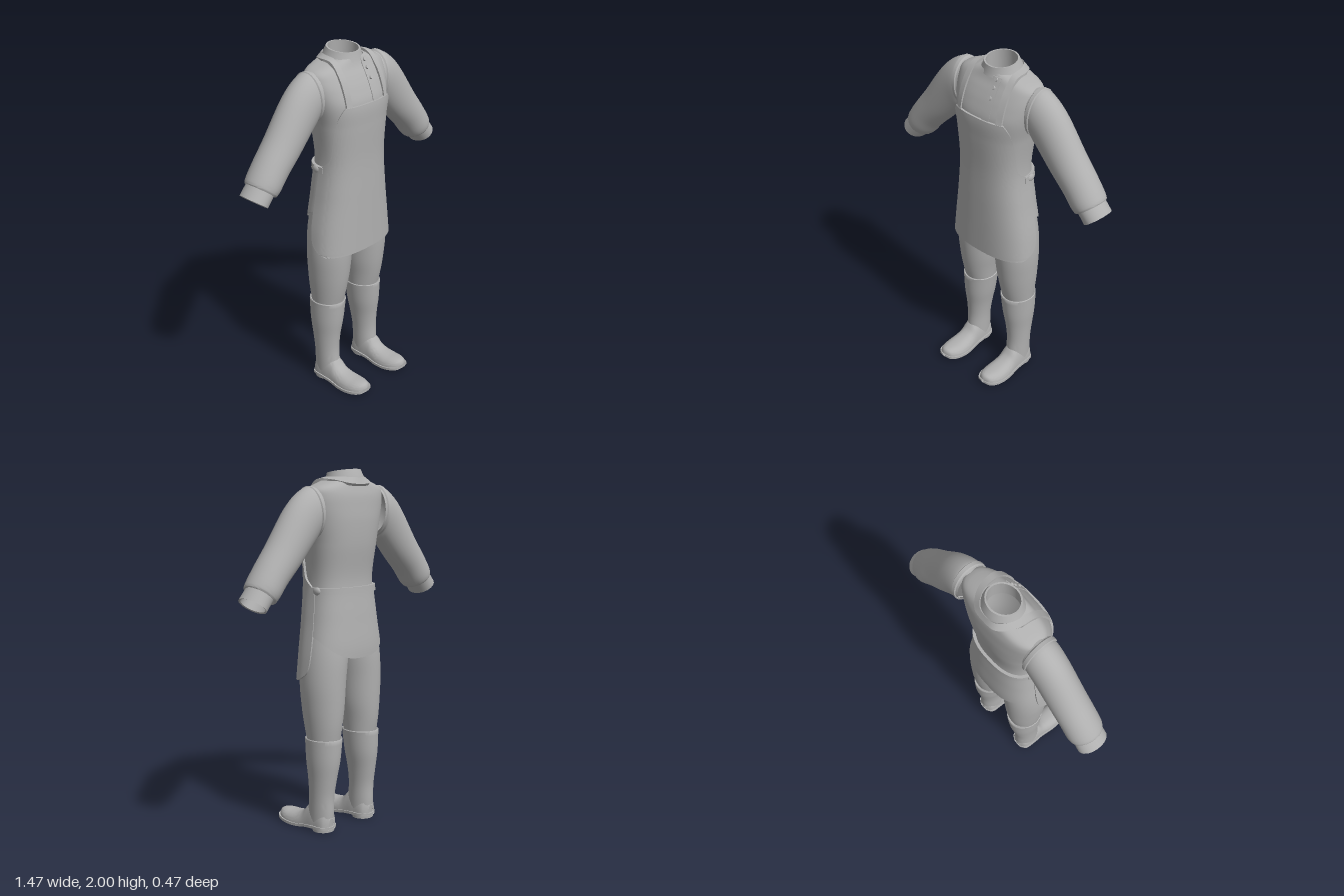
import * as THREE from 'three';
import { toCreasedNormals } from 'three/addons/utils/BufferGeometryUtils.js';

const cloth = new THREE.MeshStandardMaterial({ color: 0xb0b0b0, side: THREE.DoubleSide });
cloth.name = 'plain grey';
const DEG = Math.PI / 180;

// Smooth lookup through rows of [key, ...values]
function table(rows) {
  const slope = (i, c) => {
    const a = rows[Math.max(i - 1, 0)], b = rows[Math.min(i + 1, rows.length - 1)];
    return (b[c] - a[c]) / (b[0] - a[0]);
  };
  return (k) => {
    let i = 0;
    while (i < rows.length - 2 && k > rows[i + 1][0]) i++;
    const a = rows[i], b = rows[i + 1], h = b[0] - a[0];
    const t = Math.min(1, Math.max(0, (k - a[0]) / h)), t2 = t * t, t3 = t2 * t;
    return a.slice(1).map((v, j) => (2 * t3 - 3 * t2 + 1) * v + (t3 - 2 * t2 + t) * h * slope(i, j + 1)
      + (3 * t2 - 2 * t3) * b[j + 1] + (t3 - t2) * h * slope(i + 1, j + 1));
  };
}

function add(parent, name, geo) {
  const mesh = new THREE.Mesh(geo, cloth);
  mesh.name = name;
  parent.add(mesh);
  return mesh;
}

// Surface from a grid of points fn(i, j)
function grid(nu, nv, fn) {
  const pos = [], idx = [];
  for (let j = 0; j <= nv; j++) for (let i = 0; i <= nu; i++) pos.push(...fn(i, j));
  for (let j = 0; j < nv; j++) for (let i = 0; i < nu; i++) {
    const a = j * (nu + 1) + i, b = a + nu + 1;
    idx.push(a, b, a + 1, a + 1, b, b + 1);
  }
  const geo = new THREE.BufferGeometry();
  geo.setAttribute('position', new THREE.Float32BufferAttribute(pos, 3));
  geo.setIndex(idx);
  return toCreasedNormals(geo, 0.75);
}

// Torso outline by height: half width, front z, back z
const body = table([
  [0.86, 0.268, 0.09, -0.2], [1, 0.254, 0.09, -0.22], [1.2, 0.223, 0.09, -0.207], [1.4, 0.203, 0.09, -0.193],
  [1.6, 0.22, 0.098, -0.215], [1.72, 0.245, 0.098, -0.22], [1.8, 0.26, 0.072, -0.216], [1.86, 0.262, 0.043, -0.21],
  [1.9, 0.245, 0.02, -0.2], [1.93, 0.165, 0.008, -0.192], [1.945, 0.11, 0.003, -0.186],
]);
const spow = (v) => Math.sign(v) * Math.abs(v) ** 0.8;
function bodyPoint(y, phi, off = 0) {
  const [w, f, b] = body(y);
  return [(w + off) * spow(Math.sin(phi)), y, (f + b) / 2 + ((f - b) / 2 + off) * spow(Math.cos(phi))];
}
const phiAt = (x, y) => Math.sign(x) * Math.asin(Math.min(1, (Math.abs(x) / body(y)[0]) ** 1.25));
const frontZ = (x, y) => bodyPoint(y, phiAt(x, y))[2];

// Raised cloth panel lying on the torso, with a rim on every edge
function panel(parent, name, nu, nv, off, at) {
  const mid = (i, n) => (Math.min(Math.max(i, 1), n - 1) - 1) / (n - 2);
  add(parent, name, grid(nu, nv, (i, j) => {
    const [y, phi] = at(mid(i, nu), mid(j, nv));
    return bodyPoint(y, phi, i % nu === 0 || j % nv === 0 ? 0 : off);
  }));
}

// Horizontal rings: rows of [y, centre x, half width, front z, back z]
const ringGeo = (rows, s) => grid(32, rows.length - 1, (i, j) => {
  const [y, cx, rx, f, b] = rows[j], a = i / 32 * 2 * Math.PI;
  return [s * (cx + rx * Math.cos(a)), y, (f + b) / 2 + (f - b) / 2 * Math.sin(a)];
});

// Tilted arm rings: rows of [x, y, radius, z radius, downward angle]
const armGeo = (rows, s) => grid(32, rows.length - 1, (i, j) => {
  const [x, y, r, rz, a] = rows[j], t = i / 32 * 2 * Math.PI;
  return [s * (x + r * Math.cos(t) * Math.sin(a)), y + r * Math.cos(t) * Math.cos(a), -0.09 + rz * Math.sin(t)];
});

const sample = (rows, n) => {
  const f = table(rows), k0 = rows[0][0], k1 = rows[rows.length - 1][0];
  return Array.from({ length: n + 1 }, (_, i) => { const k = k0 + (k1 - k0) * i / n; return [k, ...f(k)]; });
};

function addArm(g, s) {
  add(g, 'sleeve', armGeo(sample([
    [0, 0.24, 1.775, 0.128, 0.093, 0], [1, 0.278, 1.765, 0.138, 0.1, 0.15], [2, 0.35, 1.7, 0.126, 0.1, 0.6],
    [3, 0.465, 1.56, 0.108, 0.1, 0.82], [4, 0.55, 1.465, 0.098, 0.1, 0.86], [5, 0.605, 1.395, 0.094, 0.1, 0.89],
    [6, 0.63, 1.365, 0.086, 0.092, 0.9], [7, 0.626, 1.37, 0.068, 0.08, 0.9]], 35).map((r) => r.slice(1)), s));
  add(g, 'cuff', armGeo([[0.6, 1.405, 0.07, 0.085, 0.9], [0.678, 1.315, 0.071, 0.087, 0.9],
    [0.676, 1.318, 0.062, 0.078, 0.9], [0.6, 1.405, 0.062, 0.078, 0.9]], s));
  add(g, 'armholeSeam', armGeo([[0.247, 1.772, 0.132, 0.1, 0.04], [0.252, 1.772, 0.139, 0.106, 0.05],
    [0.268, 1.77, 0.142, 0.106, 0.08], [0.274, 1.768, 0.133, 0.096, 0.1]], s));
}

function addLeg(g, s) {
  add(g, 'trouserLeg', ringGeo(sample([
    [0.5, 0.15, 0.088, 0.012, -0.172], [0.6, 0.15, 0.1, 0.035, -0.187], [0.7, 0.147, 0.113, 0.052, -0.195],
    [0.85, 0.144, 0.124, 0.066, -0.2], [1, 0.13, 0.127, 0.066, -0.2], [1.2, 0.11, 0.11, 0.05, -0.18]], 24), s));
  add(g, 'bootShaft', ringGeo([[0.525, 0.15, 0.085, 0.01, -0.17], [0.532, 0.151, 0.095, 0.027, -0.187],
    ...sample([[-0.528, 0.151, 0.099, 0.03, -0.19], [-0.4, 0.157, 0.088, 0.02, -0.183], [-0.3, 0.162, 0.074, 0.006, -0.168],
      [-0.2, 0.165, 0.065, 0, -0.154], [-0.1, 0.165, 0.062, 0.008, -0.153], [-0.03, 0.165, 0.06, 0.01, -0.15]], 20)
      .map(([y, ...r]) => [-y, ...r])], s));
  // Foot sections along z: half width, top, bottom
  const footRows = sample([[-0.153, 0.02, 0.08, 0.03], [-0.13, 0.053, 0.13, 0.03], [-0.06, 0.062, 0.17, 0.03],
    [0, 0.062, 0.14, 0.025], [0.03, 0.064, 0.105, 0.02], [0.07, 0.069, 0.083, 0.016], [0.13, 0.071, 0.073, 0.018],
    [0.18, 0.063, 0.072, 0.024], [0.215, 0.044, 0.068, 0.03], [0.228, 0.026, 0.06, 0.034], [0.234, 0.002, 0.045, 0.038]], 40);
  add(g, 'bootFoot', grid(24, 40, (i, j) => {
    const [z, w, top, bot] = footRows[j], a = i / 24 * Math.PI;
    return [s * (0.165 + w * spow(Math.cos(a))), bot + (top - bot) * Math.sin(a), z];
  }));
  // Thin welted sole that follows the foot
  add(g, 'sole', grid(4, 40, (i, j) => {
    const [z, w, , bot] = footRows[j], e = w + 0.007;
    return [s * (0.165 + (i % 4 < 2 && i !== 4 ? (i ? 1 : -1) : (i === 2 ? 1 : -1)) * e),
      bot + (i === 2 || i === 3 ? -0.013 : 0.002), z + Math.max(0, z) * 0.025];
  }));
  const heel = add(g, 'heel', new THREE.CylinderGeometry(0.064, 0.062, 0.028, 28));
  heel.scale.z = 0.97;
  heel.position.set(s * 0.165, 0.014, -0.09);
}

export function createModel() {
  const model = new THREE.Group();
  model.name = 'workOutfit';

  // Shirt body
  add(model, 'shirt', grid(64, 60, (i, j) => bodyPoint(1.2 + 0.745 * (j / 60) ** 0.8, i / 64 * 2 * Math.PI)));

  // Standing collar, higher at the back, open inside
  const collarRows = [[1.935, 0.116, 0.016, -0.198], [1.952, 0.108, 0.01, -0.193], [1.987, 0.095, 0.002, -0.176],
    [1.987, 0.086, -0.007, -0.167], [1.93, 0.088, -0.005, -0.172], [1.87, 0.09, -0.005, -0.175]];
  add(model, 'collar', grid(40, 5, (i, j) => {
    const [y, w, f, b] = collarRows[j], a = i / 40 * 2 * Math.PI;
    return [w * Math.cos(a), y - 0.013 * Math.sin(a), (f + b) / 2 + (f - b) / 2 * Math.sin(a)];
  }));

  // Button placket and buttons
  panel(model, 'placket', 6, 16, 0.004, (u, v) => {
    const y = 1.7 + 0.235 * v;
    return [y, phiAt(0.03 + 0.05 * u, y)];
  });
  for (const y of [1.835, 1.885, 1.925]) {
    const button = add(model, 'button', new THREE.CylinderGeometry(0.009, 0.011, 0.01, 14));
    button.position.set(0.055, y, frontZ(0.055, y) + 0.007);
    button.rotation.x = 60 * DEG;
  }

  // Apron: half angle of wrap by height
  const wrap = table([[0.86, 70], [0.875, 83], [0.91, 92], [1, 95], [1.3, 95], [1.37, 90], [1.42, 74],
    [1.5, 67], [1.6, 59], [1.66, 51], [1.7, 42], [1.72, 36]]);
  panel(model, 'apron', 50, 70, 0.012, (u, v) => {
    const y = 0.86 + 0.86 * v;
    return [y, (2 * u - 1) * wrap(y)[0] * DEG];
  });

  // Rounded back skirt and waist tie
  panel(model, 'backSkirt', 44, 16, 0.007, (u, v) => {
    const bottom = 1.11 - 0.13 * Math.sin(u * Math.PI) ** 1.6;
    return [bottom + (1.37 - bottom) * v, (88 + 184 * u) * DEG];
  });
  panel(model, 'waistTie', 44, 4, 0.016, (u, v) => [1.335 + 0.035 * v, (88 + 184 * u) * DEG]);

  // Neck strap of the apron, running over the shoulders and behind the collar
  const side = (rows) => rows.map(([x, y, z]) => new THREE.Vector3(x, y, z ?? frontZ(x, y) + 0.012));
  const edge = (rows) => {
    const half = side(rows);
    const other = half.slice(0, -1).reverse().map((p) => new THREE.Vector3(-p.x, p.y, p.z));
    return new THREE.CatmullRomCurve3([...half, ...other]);
  };
  const inner = edge([[0.125, 1.71], [0.125, 1.8], [0.123, 1.88], [0.12, 1.95, -0.03], [0.108, 1.96, -0.12],
    [0.06, 1.957, -0.188], [0, 1.955, -0.203]]);
  const outer = edge([[0.157, 1.71], [0.159, 1.8], [0.159, 1.88], [0.157, 1.944, -0.03], [0.14, 1.945, -0.13],
    [0.076, 1.925, -0.207], [0, 1.92, -0.218]]);
  add(model, 'neckStrap', grid(3, 72, (i, j) => {
    const p = (i < 2 ? inner : outer).getPoint(j / 72);
    return i % 3 ? p.toArray() : [p.x, p.y - 0.012, p.z + (p.z > -0.1 ? -0.012 : 0.01)];
  }));

  // Mirrored limbs and tie knots
  for (const s of [1, -1]) {
    const half = new THREE.Group();
    half.name = s > 0 ? 'leftSide' : 'rightSide';
    addArm(half, s);
    addLeg(half, s);
    const knot = add(half, 'tieKnot', new THREE.SphereGeometry(0.022, 16, 12));
    knot.scale.set(0.6, 1, 1.2);
    knot.position.set(...bodyPoint(1.352, s * 100 * DEG, 0.012));
    model.add(half);
  }
  return model;
}
